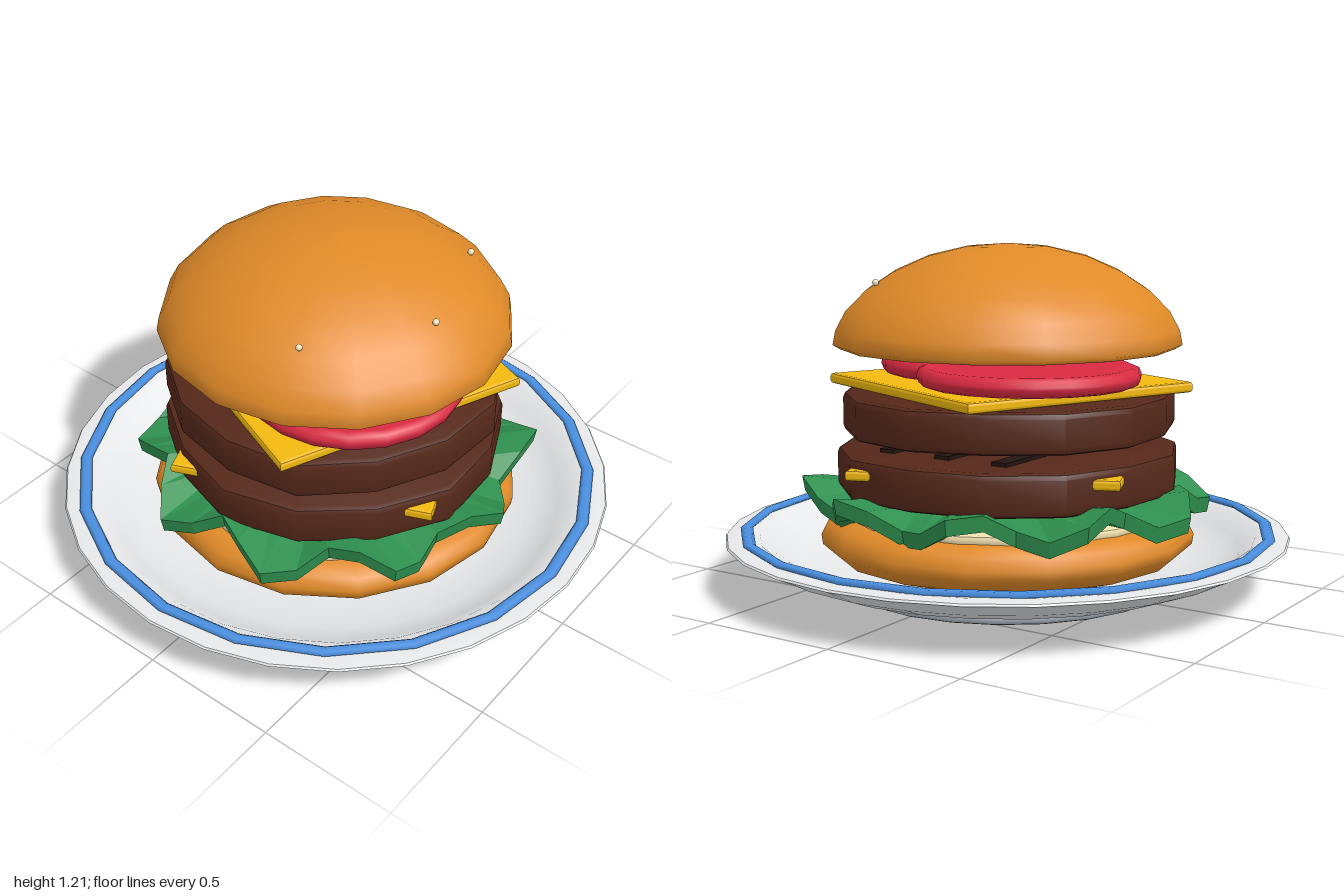
import * as THREE from 'three';
import { toCreasedNormals } from 'three/addons/utils/BufferGeometryUtils.js';

const mat = (color, extra = {}) => new THREE.MeshStandardMaterial({ color, ...extra });

const COLORS = {
  plate: 0xe6e8ea, base: 0xa9b0ba, band: 0x4a8fe0, bun: 0xe08a28, sauce: 0xf0dfae,
  lettuce: 0x2f9150, patty: 0x55281a, char: 0x24150f, cheese: 0xf2b90f, tomato: 0xd92a42, seed: 0xf5e6c0,
};

// Turned solid from [radius, height] pairs listed from bottom centre to top centre
function turned(points, sides, crease = 0) {
  const g = new THREE.LatheGeometry(points.map(([r, y]) => new THREE.Vector2(r, y)), sides);
  return crease ? toCreasedNormals(g, crease) : g;
}

// Disc with rounded edge
function discProfile(r, y0, y1, bevel) {
  const b = bevel, c = bevel * 0.3;
  return [[0, y0], [r - b, y0], [r - c, y0 + c], [r, y0 + b],
    [r, y1 - b], [r - c, y1 - c], [r - b, y1], [0, y1]];
}

// Moves each vertex by rule(angle, radius, height) -> [radius, height]
function reshape(g, rule) {
  const p = g.attributes.position;
  for (let i = 0; i < p.count; i++) {
    const x = p.getX(i), z = p.getZ(i), a = Math.atan2(z, x);
    const [r, y] = rule(a, Math.hypot(x, z), p.getY(i));
    p.setXYZ(i, r * Math.cos(a), y, r * Math.sin(a));
  }
  return g;
}

export function createModel() {
  const model = new THREE.Group();
  const add = (name, geometry, color, extra) => {
    const mesh = new THREE.Mesh(geometry, mat(color, extra));
    mesh.name = name;
    model.add(mesh);
    return mesh;
  };

  // Plate with raised rim, foot ring and painted band
  add('plate', turned([
    [0, 0.04], [0.6, 0.042], [0.77, 0.075], [0.87, 0.115], [0.95, 0.157], [1, 0.18], [0.995, 0.187],
    [0.95, 0.192], [0.88, 0.185], [0.83, 0.14], [0.74, 0.1], [0.62, 0.078], [0, 0.07],
  ], 28, 0.7), COLORS.plate);
  const foot = add('plateFoot', new THREE.TorusGeometry(0.58, 0.022, 8, 24), COLORS.base);
  foot.rotation.x = Math.PI / 2;
  foot.position.y = 0.022;
  const base = add('plateBase', new THREE.CylinderGeometry(0.58, 0.58, 0.02, 24), COLORS.base);
  base.position.y = 0.035;
  const band = add('plateBand', new THREE.TorusGeometry(0.93, 0.022, 6, 20), COLORS.band);
  band.rotation.set(Math.PI / 2, 0, Math.PI / 2);
  band.scale.z = 0.5;
  band.position.y = 0.198;

  // Bottom bun and sauce
  add('bottomBun', turned([
    [0, 0.07], [0.5, 0.08], [0.61, 0.115], [0.66, 0.16], [0.665, 0.195],
    [0.645, 0.235], [0.6, 0.26], [0.52, 0.268], [0, 0.268],
  ], 16), COLORS.bun);
  add('sauce', turned(discProfile(0.58, 0.255, 0.29, 0.012), 20, 0.6), COLORS.sauce);

  // Lettuce with ten ruffled lobes
  const leaf = turned([[0, 0.29], [0.42, 0.29], [0.68, 0.285], [0.69, 0.34], [0.42, 0.34], [0, 0.34]], 40);
  reshape(leaf, (a, r, y) => {
    const k = THREE.MathUtils.smoothstep(r, 0.4, 0.66);
    return [r + k * 0.055 * Math.cos(10 * a) - k * 0.015, y + k * 0.05 * Math.sin(9 * a + 0.5)];
  });
  add('lettuce', leaf, COLORS.lettuce, { flatShading: true });

  // Patties with uneven edges
  const patty = (name, radius, y0, y1, phase) => {
    const g = new THREE.LatheGeometry(
      discProfile(radius, y0, y1, 0.022).map(([r, y]) => new THREE.Vector2(r, y)), 14);
    reshape(g, (a, r, y) => [r * (1 + 0.02 * Math.sin(5 * a + phase)), y]);
    add(name, toCreasedNormals(g, 0.6), COLORS.patty);
  };
  patty('lowerPatty', 0.605, 0.35, 0.498, 0.6);
  patty('upperPatty', 0.59, 0.55, 0.692, 2.2);

  // Grill marks on the lower patty
  for (const x of [-0.23, 0, 0.23]) {
    const mark = add('grillMark', new THREE.BoxGeometry(0.06, 0.022, 0.8), COLORS.char);
    mark.position.set(x, 0.5, 0);
  }

  // Square cheese slices turned in opposite directions
  const slice = new THREE.Shape([[-1, -1], [1, -1], [1, 1], [-1, 1]]
    .map(([x, y]) => new THREE.Vector2(x * 0.45, y * 0.45)));
  const cheeseGeometry = new THREE.ExtrudeGeometry(slice, {
    depth: 0.016, bevelThickness: 0.011, bevelSize: 0.011, bevelSegments: 2,
  }).translate(0, 0, -0.008).rotateX(-Math.PI / 2);
  for (const [name, y, turn] of [['lowerCheese', 0.448, 22.4], ['upperCheese', 0.714, -22.4]]) {
    const cheese = add(name, cheeseGeometry, COLORS.cheese);
    cheese.position.y = y;
    cheese.rotation.y = THREE.MathUtils.degToRad(turn);
  }

  // Two overlapping tomato slices
  for (const s of [1, -1]) {
    const tomato = add('tomatoSlice', turned(discProfile(0.385, 0.733, 0.8 - (s < 0 ? 0.002 : 0), 0.028), 20), COLORS.tomato);
    tomato.position.set(0.165 * s, 0, 0.115 * s);
  }

  // Domed top bun
  add('topBun', turned([
    [0, 0.815], [0.35, 0.822], [0.59, 0.845], [0.615, 0.86], [0.605, 0.91], [0.57, 0.975],
    [0.5, 1.045], [0.4, 1.11], [0.28, 1.162], [0.14, 1.195], [0, 1.205],
  ], 16), COLORS.bun);

  // Tiny seeds barely breaking the crust
  for (const [x, y, z] of [[0.31, 1.075, -0.35], [0.46, 1.08, 0.07], [0.2, 1.075, 0.44]]) {
    const seed = add('seed', new THREE.SphereGeometry(0.012, 8, 6), COLORS.seed);
    seed.position.set(x, y, z);
  }
  return model;
}
